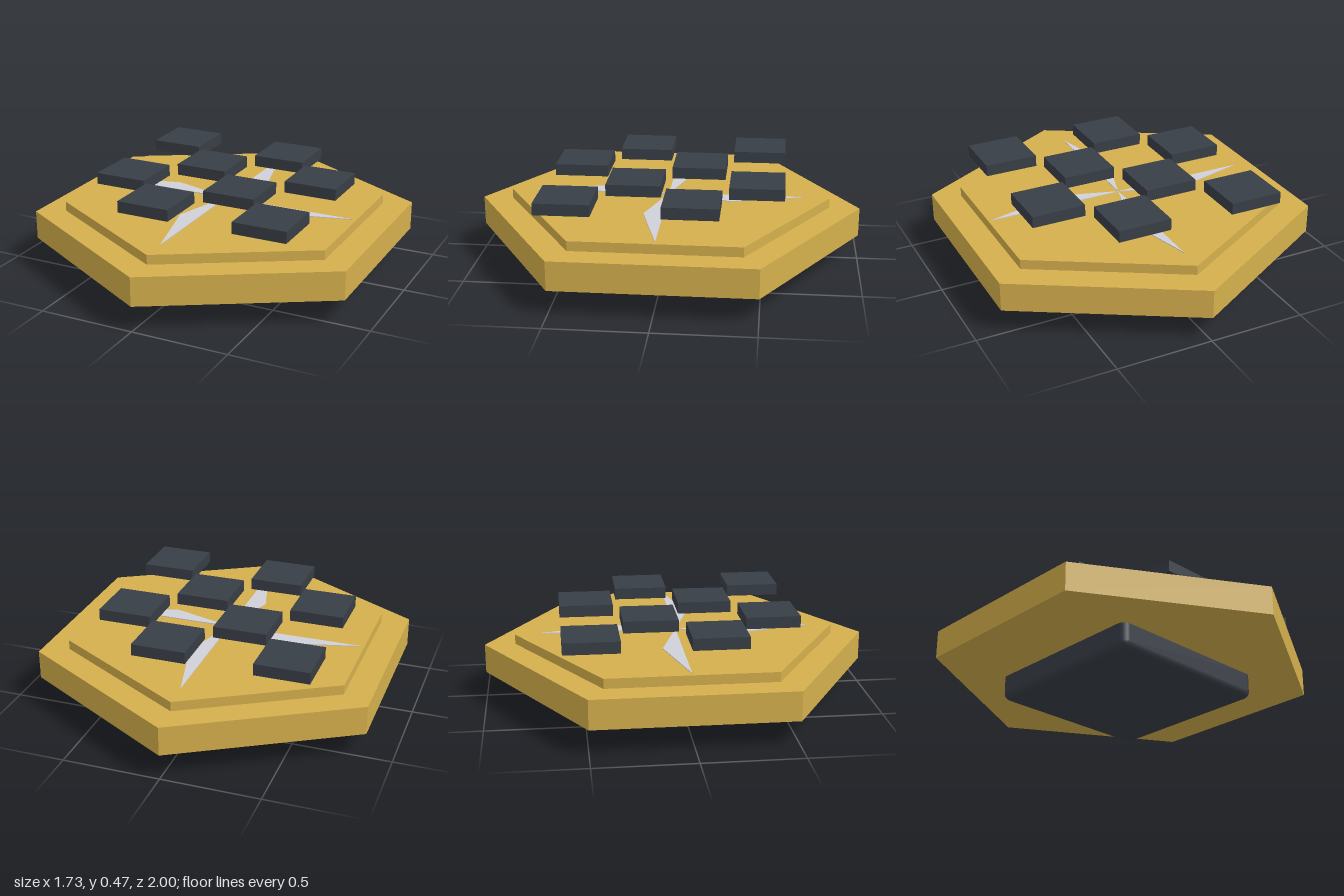
import * as THREE from 'three';
import { RoundedBoxGeometry } from 'three/addons/geometries/RoundedBoxGeometry.js';

export function createModel() {
  const model = new THREE.Group();
  const material = (name, color, flatShading = true) =>
    Object.assign(new THREE.MeshStandardMaterial({ color }), { name, flatShading });
  const gold = material('gold', 0xd4af4c);
  const charcoal = material('charcoal', 0x383e46, false);
  const silver = material('silver', 0xd0d0d8);

  const add = (name, geometry, mat, x, y, z) => {
    const mesh = new THREE.Mesh(geometry, mat);
    mesh.name = name;
    mesh.position.set(x, y, z);
    model.add(mesh);
    return mesh;
  };

  // Rounded foot, its upper rounding sunk into the slab
  add('foot', new RoundedBoxGeometry(0.93, 0.18, 0.93, 3, 0.04), charcoal, 0, 0.09, 0);

  // Two stacked hexagonal slabs with points at front and back
  add('baseSlab', new THREE.CylinderGeometry(1, 1, 0.15, 6), gold, 0, 0.205, 0);
  add('upperSlab', new THREE.CylinderGeometry(0.842, 0.842, 0.05, 6), gold, 0, 0.305, 0);

  // Four thin pinwheel blades lying on the upper slab
  const outline = new THREE.Shape([
    new THREE.Vector2(0, 0),
    new THREE.Vector2(0.325, -0.1),
    new THREE.Vector2(0.71, 0),
  ]);
  const blade = new THREE.ExtrudeGeometry(outline, { depth: 0.004, bevelEnabled: false });
  blade.rotateX(-Math.PI / 2);
  for (let i = 0; i < 4; i++) {
    add('blade', blade, silver, 0, 0.33, 0).rotation.y = i * Math.PI / 2;
  }

  // Floating square tiles in a checkerboard
  const tile = new THREE.BoxGeometry(0.28, 0.06, 0.28);
  const steps = [-0.468, -0.156, 0.156, 0.468];
  steps.forEach((z, row) => steps.forEach((x, column) => {
    if ((row + column) % 2 === 0) add('tile', tile, charcoal, x, 0.44, z);
  }));

  return model;
}
